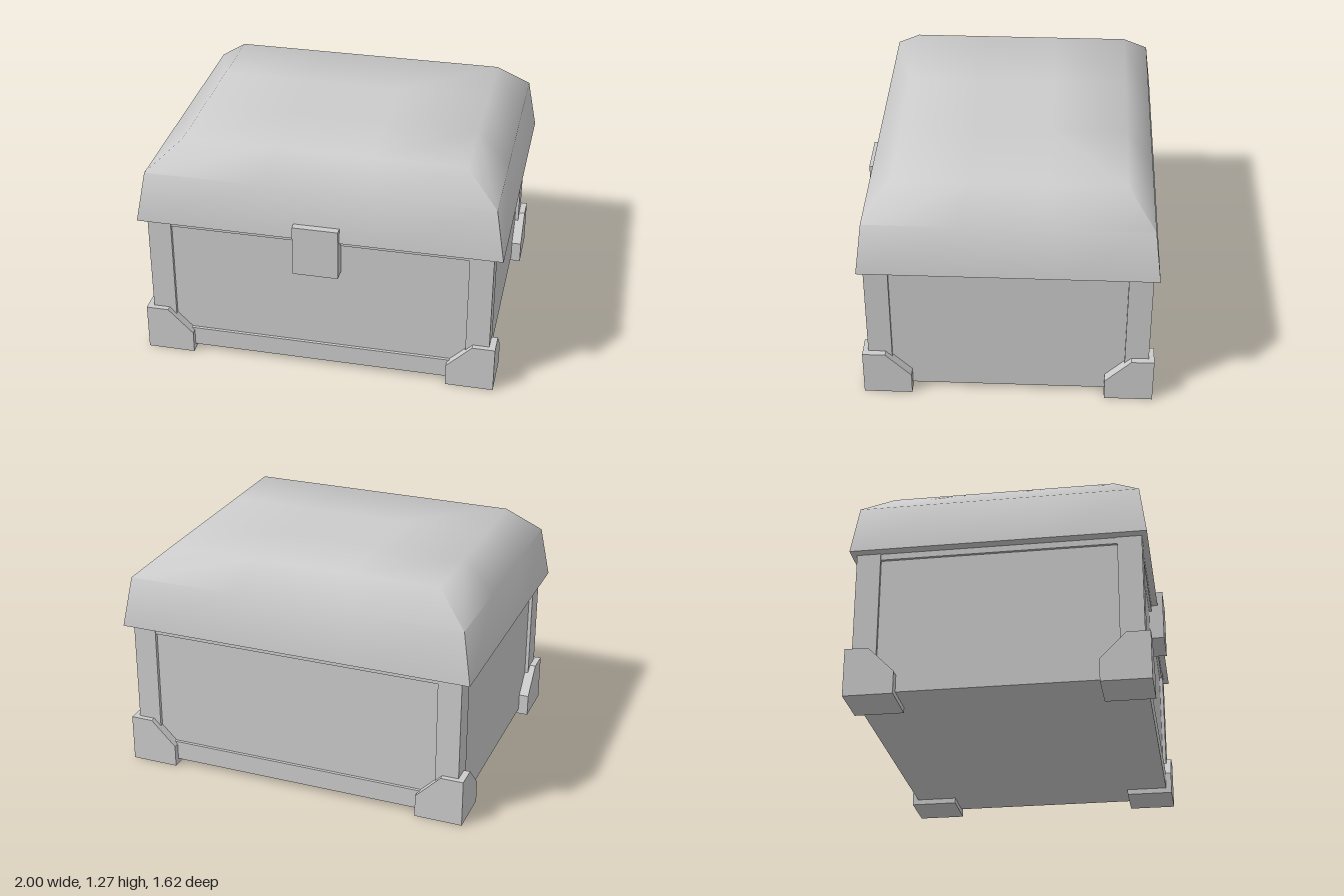
import * as THREE from 'three';
import { toCreasedNormals } from 'three/addons/utils/BufferGeometryUtils.js';

const material = new THREE.MeshStandardMaterial({ color: 0xcccccc });
const MID_Z = -0.015; // chest centre; the latch sticks out in front

function add(parent, name, geometry) {
  const mesh = new THREE.Mesh(geometry, material);
  mesh.name = name;
  parent.add(mesh);
  return mesh;
}

// Box given by its minimum and maximum on each axis
function box(parent, name, x0, x1, y0, y1, z0, z1) {
  const mesh = add(parent, name, new THREE.BoxGeometry(x1 - x0, y1 - y0, z1 - z0));
  mesh.position.set((x0 + x1) / 2, (y0 + y1) / 2, (z0 + z1) / 2);
  return mesh;
}

// Lid: a box whose three height levels taper to the skirt, shoulder and flat top
function lidGeometry() {
  const levels = [
    [1.0, 0.835, 0.795],
    [0.95, 1.12, 0.76],
    [0.77, 1.275, 0.615],
  ];
  const geometry = new THREE.BoxGeometry(2, 2, 2, 3, 2, 3);
  const p = geometry.attributes.position;
  for (let i = 0; i < p.count; i++) {
    const [halfX, y, halfZ] = levels[Math.round(p.getY(i)) + 1];
    p.setXYZ(i, p.getX(i) * halfX, y, p.getZ(i) * halfZ);
  }
  return toCreasedNormals(geometry, THREE.MathUtils.degToRad(65));
}

// Chamfered plate with its outer edge at x = 0, growing towards -x
function plateGeometry() {
  const shape = new THREE.Shape([
    [0, 0], [0, 0.265], [-0.125, 0.265], [-0.265, 0.125], [-0.265, 0],
  ].map(([x, y]) => new THREE.Vector2(x, y)));
  return new THREE.ExtrudeGeometry(shape, { depth: 0.06, bevelEnabled: false });
}

// Corner foot: two chamfered plates meeting at the corner over a solid base
function cornerFoot(sx, sz) {
  const foot = new THREE.Group();
  foot.name = 'cornerFoot';
  const plate = plateGeometry();
  const turn = sx * sz > 0 ? 0 : sx > 0 ? Math.PI / 2 : -Math.PI / 2;
  const base = sx > 0 ? turn : sz > 0 ? turn : Math.PI;
  // plate lying along x, then its twin lying along z
  add(foot, 'footPlate', plate).position.set(0, 0, -0.06);
  const side = add(foot, 'footPlate', plate);
  side.rotation.y = -Math.PI / 2;
  side.position.set(0, 0, 0);
  side.geometry = plate.clone();
  box(foot, 'footBase', -0.265, 0, 0, 0.12, -0.265, 0);
  foot.position.set(sx * 0.985, 0, MID_Z + sz * 0.795);
  foot.rotation.y = base;
  return foot;
}

export function createModel() {
  const chest = new THREE.Group();
  chest.name = 'chest';

  // Recessed panels
  box(chest, 'body', -0.93, 0.93, 0.03, 0.835, MID_Z - 0.745, MID_Z + 0.745);

  // Rim under the lid
  box(chest, 'topRim', -0.945, 0.945, 0.8, 0.836, MID_Z - 0.76, MID_Z + 0.76);

  // Bottom rails at the front and back
  for (const s of [-1, 1]) {
    const rail = box(chest, 'bottomRail', -0.83, 0.83, 0.03, 0.14, -0.02, 0.02);
    rail.position.z = MID_Z + s * 0.742;
  }

  // Corner posts and feet
  for (const sx of [-1, 1]) {
    for (const sz of [-1, 1]) {
      const post = box(chest, 'cornerPost', 0, 0.13, 0.03, 0.835, 0, 0.13);
      post.position.x = sx * 0.885;
      post.position.z = MID_Z + sz * 0.7;
      chest.add(cornerFoot(sx, sz));
    }
  }

  // Lid and latch
  add(chest, 'lid', lidGeometry()).position.z = MID_Z;
  box(chest, 'latch', -0.125, 0.125, 0.63, 0.92, 0.7, 0.81);

  return chest;
}
